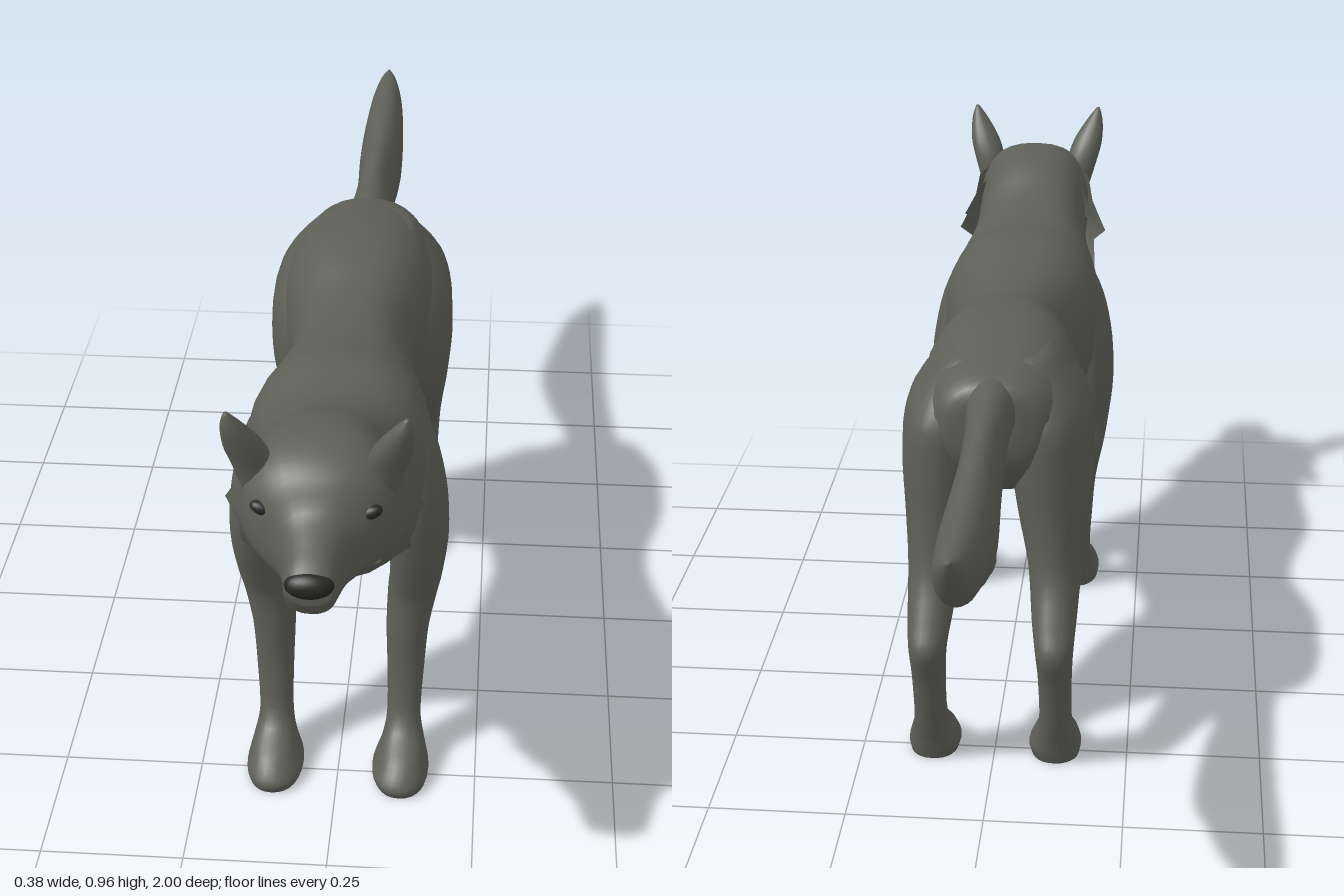
import * as THREE from 'three';

const fur = new THREE.MeshStandardMaterial({ color: 0x5e5f57 });
fur.name = 'grey fur';
fur.side = THREE.DoubleSide;
const dark = new THREE.MeshStandardMaterial({ color: 0x262624 });
dark.name = 'dark nose and eyes';

// Smooth value between rows
function spline(rows, u) {
  const n = rows.length - 1, i = Math.min(Math.floor(u * n), n - 1), f = u * n - i;
  const p0 = rows[Math.max(i - 1, 0)], p1 = rows[i], p2 = rows[i + 1], p3 = rows[Math.min(i + 2, n)];
  return p1.map((_, k) => {
    const m1 = (p2[k] - p0[k]) / 2, m2 = (p3[k] - p1[k]) / 2, d = p2[k] - p1[k];
    return p1[k] + f * (m1 + f * (3 * d - 2 * m1 - m2 + f * (m1 + m2 - 2 * d)));
  });
}

// Skin over rounded cross-sections; rows are [t, aMin, aMax, bMin, bMax] with t rising.
// axis 'z': a = x, b = y.  axis 'y': a = z, b = x.
function loft(rows, axis, power = 0.9, sides = 28, sub = 4) {
  const steps = (rows.length - 1) * sub, pos = [], idx = [];
  const put = (t, a, b) => (axis === 'z' ? pos.push(a, b, t) : pos.push(b, t, a));
  const bend = (v) => Math.sign(v) * Math.abs(v) ** power;
  for (let i = 0; i <= steps; i++) {
    const [t, a0, a1, b0, b1] = spline(rows, i / steps);
    for (let j = 0; j < sides; j++) {
      const an = (j / sides) * Math.PI * 2;
      put(t, (a0 + a1) / 2 + ((a1 - a0) / 2) * bend(Math.cos(an)),
        (b0 + b1) / 2 + ((b1 - b0) / 2) * bend(Math.sin(an)));
      if (i === steps) continue;
      const k = (j + 1) % sides, p = i * sides, q = p + sides;
      idx.push(p + j, p + k, q + k, p + j, q + k, q + j);
    }
  }
  // End caps
  [[rows[0], 0], [rows[rows.length - 1], steps]].forEach(([r, ring]) => {
    const c = pos.length / 3;
    put(r[0], (r[1] + r[2]) / 2, (r[3] + r[4]) / 2);
    for (let j = 0; j < sides; j++) {
      const p = ring * sides + j, q = ring * sides + ((j + 1) % sides);
      if (ring) idx.push(c, p, q); else idx.push(c, q, p);
    }
  });
  return build(pos, idx);
}

function build(pos, idx) {
  const g = new THREE.BufferGeometry();
  g.setAttribute('position', new THREE.Float32BufferAttribute(pos, 3));
  g.setIndex(idx);
  g.computeVertexNormals();
  return g;
}

// Thin strip of fur between two edges
function strip(inner, outer, side) {
  const pos = [], idx = [];
  inner.forEach((p, i) => {
    const o = outer[i];
    pos.push(p[0] * side, p[1], p[2], o[0] * side, o[1], o[2]);
    if (!i) return;
    const a = 2 * i - 2;
    if (side > 0) idx.push(a, a + 2, a + 1, a + 1, a + 2, a + 3);
    else idx.push(a, a + 1, a + 2, a + 1, a + 3, a + 2);
  });
  return build(pos, idx);
}

export function createModel() {
  const wolf = new THREE.Group();
  wolf.name = 'wolf';
  const add = (name, geo, mat = fur) => {
    const m = new THREE.Mesh(geo, mat);
    m.name = name;
    wolf.add(m);
    return m;
  };
  // Symmetric sections: [z, half width, bottom, top]
  const along = (rows) => rows.map(([z, w, b, t]) => [z, -w, w, b, t]);
  // Upright sections, mirrored to either side
  const upright = (rows, s) => rows.map(([y, z0, z1, x0, x1]) => (s > 0 ? [y, z0, z1, x0, x1] : [y, z0, z1, -x1, -x0]));

  // Trunk, neck and head
  add('bodyAndHead', loft(along([
    [-0.33, 0.05, 0.66, 0.75], [-0.31, 0.1, 0.6, 0.777], [-0.22, 0.135, 0.53, 0.8], [-0.08, 0.145, 0.495, 0.823],
    [0.02, 0.13, 0.49, 0.815], [0.1, 0.112, 0.487, 0.795], [0.19, 0.116, 0.457, 0.787], [0.29, 0.14, 0.446, 0.795],
    [0.4, 0.16, 0.443, 0.818], [0.5, 0.155, 0.46, 0.81], [0.6, 0.128, 0.505, 0.838], [0.68, 0.116, 0.57, 0.88],
    [0.76, 0.118, 0.635, 0.9], [0.82, 0.118, 0.667, 0.89], [0.86, 0.092, 0.68, 0.868], [0.89, 0.06, 0.68, 0.828],
    [0.93, 0.045, 0.682, 0.808], [0.965, 0.04, 0.7, 0.793], [0.985, 0.034, 0.73, 0.78]]), 'z', 0.85));

  // Bushy tail
  add('tail', loft(along([
    [-1, 0.003, 0.768, 0.775], [-0.975, 0.02, 0.725, 0.773], [-0.915, 0.035, 0.657, 0.768], [-0.8, 0.043, 0.617, 0.76],
    [-0.69, 0.045, 0.577, 0.757], [-0.53, 0.038, 0.602, 0.765], [-0.4, 0.038, 0.653, 0.772], [-0.3, 0.045, 0.67, 0.78],
    [-0.22, 0.04, 0.69, 0.775]]), 'z', 1));

  // Muzzle tip and nose
  const ball = (name, r, p, tilt = 0) => {
    const m = add(name, new THREE.SphereGeometry(1, 20, 14), dark);
    m.scale.set(...r);
    m.position.set(...p);
    m.rotation.z = tilt;
  };
  ball('nose', [0.037, 0.021, 0.02], [0, 0.762, 0.98]);

  for (const s of [1, -1]) {
    const side = s > 0 ? 'left' : 'right';
    // Front leg with shoulder and paw
    add(side + 'FrontLeg', loft(upright([
      [0.004, 0.425, 0.57, 0.068, 0.162], [0.025, 0.418, 0.575, 0.063, 0.165], [0.058, 0.408, 0.545, 0.077, 0.156],
      [0.1, 0.402, 0.48, 0.086, 0.147], [0.19, 0.388, 0.462, 0.085, 0.151], [0.28, 0.362, 0.463, 0.082, 0.158],
      [0.355, 0.34, 0.468, 0.084, 0.172], [0.41, 0.355, 0.487, 0.088, 0.181], [0.5, 0.345, 0.522, 0.085, 0.19],
      [0.6, 0.34, 0.545, 0.07, 0.183], [0.7, 0.355, 0.53, 0.05, 0.156], [0.78, 0.39, 0.5, 0.03, 0.1]], s), 'y'));
    // Hind leg with thigh, hock and paw
    add(side + 'HindLeg', loft(upright([
      [0.004, -0.3, -0.19, 0.07, 0.16], [0.025, -0.307, -0.185, 0.065, 0.163], [0.055, -0.316, -0.2, 0.075, 0.156],
      [0.1, -0.332, -0.25, 0.086, 0.147], [0.2, -0.362, -0.278, 0.085, 0.147], [0.27, -0.388, -0.287, 0.08, 0.15],
      [0.32, -0.365, -0.245, 0.072, 0.154], [0.4, -0.325, -0.13, 0.06, 0.16], [0.5, -0.316, -0.015, 0.035, 0.17],
      [0.6, -0.32, 0.025, 0.02, 0.175], [0.7, -0.315, 0.01, 0.02, 0.16], [0.79, -0.24, -0.06, 0.02, 0.09]], s), 'y'));
    // Pointed ear
    add(side + 'Ear', loft(upright([
      [0.81, 0.77, 0.82, 0.07, 0.118], [0.86, 0.775, 0.832, 0.07, 0.133], [0.9, 0.79, 0.845, 0.082, 0.143],
      [0.94, 0.818, 0.853, 0.108, 0.143], [0.966, 0.84, 0.848, 0.129, 0.136]], s), 'y', 1, 16));
    // Eye
    ball(side + 'Eye', [0.02, 0.011, 0.012], [0.08 * s, 0.812, 0.858], 0.35 * s);
    // Jagged cheek ruff
    add(side + 'CheekRuff', strip(
      [[0.1, 0.85, 0.77], [0.112, 0.8, 0.78], [0.112, 0.77, 0.78], [0.11, 0.73, 0.785], [0.105, 0.7, 0.785], [0.09, 0.67, 0.785], [0.06, 0.655, 0.78], [0, 0.645, 0.77]],
      [[0.118, 0.84, 0.74], [0.128, 0.79, 0.73], [0.14, 0.765, 0.72], [0.158, 0.73, 0.705], [0.133, 0.7, 0.735], [0.136, 0.645, 0.7], [0.09, 0.62, 0.72], [0, 0.585, 0.71]], s));
    // Small tuft behind the cheek
    add(side + 'NeckTuft', strip(
      [[0.1, 0.84, 0.7], [0.11, 0.8, 0.71], [0.112, 0.76, 0.71]],
      [[0.112, 0.835, 0.64], [0.138, 0.79, 0.61], [0.126, 0.77, 0.65]], s));
  }
  return wolf;
}
